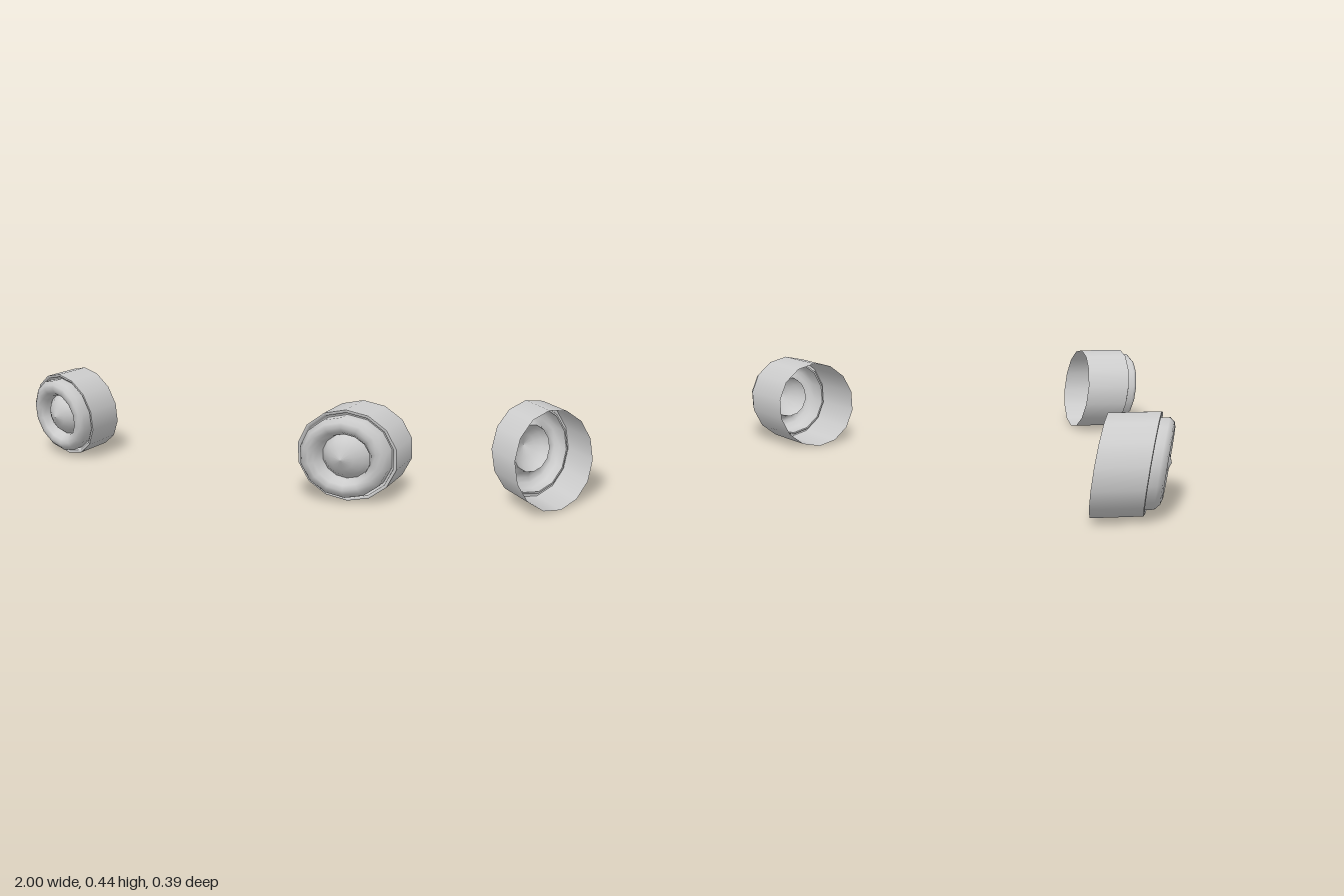
import * as THREE from 'three';

const SIDES = 14;
const CENTRE_X = 0.786, CENTRE_Y = 0.217, FRONT_Z = 0.0875;

export function createModel() {
  const grey = new THREE.MeshStandardMaterial({ color: 0xcccccc, side: THREE.DoubleSide });
  grey.name = 'light grey';

  // Profiles of [radius, distance ahead of the housing's front rim]
  const parts = {
    housing: [[0.218, -0.22], [0.218, 0]],
    housingRim: [[0.218, 0], [0.211, 0.003], [0.204, -0.004]],
    rimReturn: [[0.204, -0.004], [0.2, -0.022], [0.192, -0.022]],
    bezel: [[0.192, -0.022], [0.192, 0.039], [0.172, 0.06], [0.15, 0.066],
      [0.128, 0.056], [0.112, 0.03], [0.106, 0]],
    lensSeat: [[0.106, 0], [0.1, 0.008]],
    lens: [[0.1, 0.008], [0.084, 0.032], [0.05, 0.058], [0, 0.078]],
  };

  // One lamp: turned parts swept back outwards and upwards by a shear
  const makeLamp = (side, name) => {
    const lamp = new THREE.Group();
    lamp.name = name;
    const shear = new THREE.Matrix4().set(
      1, 0, 0, 0,
      0, 1, 0, 0,
      -0.23 * side, 0.15, 1, 0,
      0, 0, 0, 1);
    for (const [partName, profile] of Object.entries(parts)) {
      const points = profile.map(([r, z]) => new THREE.Vector2(r, z));
      const geometry = new THREE.LatheGeometry(points, SIDES);
      geometry.rotateX(Math.PI / 2).applyMatrix4(shear);
      const mesh = new THREE.Mesh(geometry, grey);
      mesh.name = partName;
      lamp.add(mesh);
    }
    lamp.position.set(side * CENTRE_X, CENTRE_Y, FRONT_Z);
    return lamp;
  };

  const model = new THREE.Group();
  model.name = 'headlamps';
  model.add(makeLamp(1, 'leftLamp'), makeLamp(-1, 'rightLamp'));
  return model;
}
